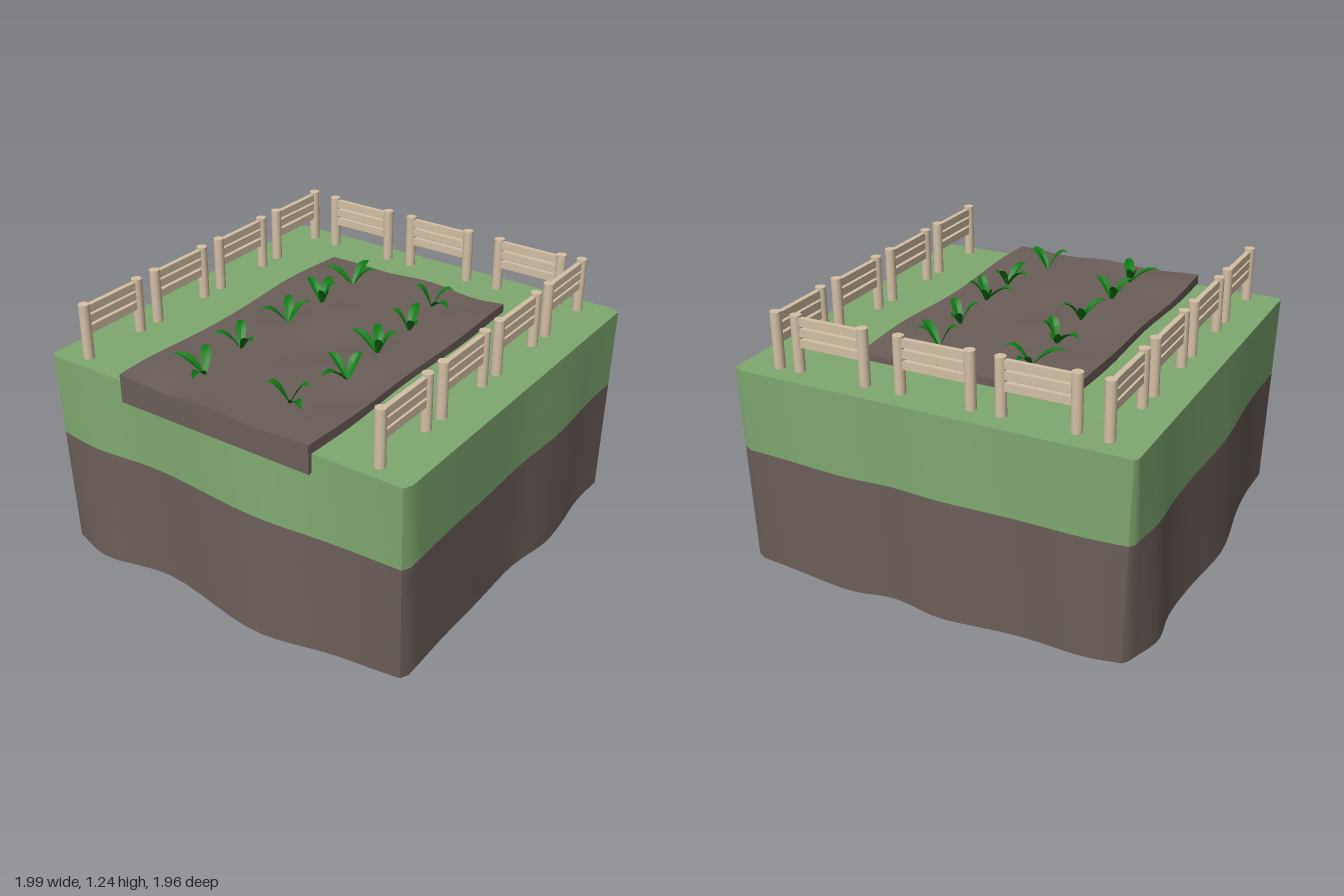
import * as THREE from 'three';
import { toCreasedNormals } from 'three/addons/utils/BufferGeometryUtils.js';

const mat = (color, extra = {}) => new THREE.MeshStandardMaterial({ color, ...extra });
const grassMat = mat(0x7fa870, { side: THREE.DoubleSide });
const soilMat = mat(0x6b5e59, { side: THREE.DoubleSide });
const woodMat = mat(0xd4c0a5);
const leafMat = mat(0x0f7a14, { side: THREE.DoubleSide });

function mesh(name, geometry, material) {
  const m = new THREE.Mesh(geometry, material);
  m.name = name;
  return m;
}

// Surface through a list of equally long rows of [x, y, z] points
function loft(rows, closed) {
  const n = rows[0].length, index = [];
  for (let r = 0; r < rows.length - 1; r++) {
    for (let i = 0; i < (closed ? n : n - 1); i++) {
      const a = r * n + i, b = r * n + (i + 1) % n;
      index.push(a, a + n, b + n, a, b + n, b);
    }
  }
  const g = new THREE.BufferGeometry();
  g.setAttribute('position', new THREE.Float32BufferAttribute(rows.flat(2), 3));
  g.setIndex(index);
  g.computeVertexNormals();
  return g;
}

// Ground block: straight rim on top, wavy outline at the foot, open underneath
const TOP = { x0: -0.93, x1: 0.965, z0: -0.94, z1: 0.957, y: 0.98 };
const FOOT = [
  [[-0.88, 0.94], [-0.5, 0.94], [0, 0.935], [0.3, 0.976], [0.5, 0.965], [0.7, 0.945], [0.94, 0.95]],
  [[0.94, 0.95], [0.978, 0.42], [0.945, 0.2], [0.997, -0.08], [0.945, -0.45], [0.955, -0.75], [0.935, -0.91]],
  [[0.935, -0.91], [0.72, -0.97], [0.5, -0.942], [-0.08, -0.983], [-0.45, -0.935], [-0.7, -0.915], [-0.91, -0.915]],
  [[-0.91, -0.915], [-0.975, -0.68], [-0.925, -0.3], [-0.998, 0.27], [-0.925, 0.68], [-0.88, 0.94]],
];

function blockOutlines() {
  const corners = [[TOP.x0, TOP.z1], [TOP.x1, TOP.z1], [TOP.x1, TOP.z0], [TOP.x0, TOP.z0]];
  const top = [], foot = [], N = 28;
  FOOT.forEach((pts, k) => {
    const curve = new THREE.CatmullRomCurve3(pts.map(([x, z]) => new THREE.Vector3(x, 0, z)));
    const a = corners[k], b = corners[(k + 1) % 4];
    const axis = k % 2, first = pts[0][axis], last = pts[pts.length - 1][axis];
    const addPoint = (u) => {
      const p = curve.getPoint(u);
      const f = ((axis ? p.z : p.x) - first) / (last - first);
      top.push([a[0] + (b[0] - a[0]) * f, a[1] + (b[1] - a[1]) * f]);
      foot.push([p.x, p.z]);
    };
    // stop short of both ends so that each corner becomes a small bevel
    for (let i = 0; i <= N; i++) addPoint(0.015 + 0.97 * i / N);
  });
  return { top, foot };
}

function buildBlock() {
  const g = new THREE.Group();
  g.name = 'groundBlock';
  const { top, foot } = blockOutlines();
  const ring = (y, wave) => top.map(([x, z], i) => {
    const t = (TOP.y - y) / TOP.y;
    const px = x + (foot[i][0] - x) * t, pz = z + (foot[i][1] - z) * t;
    return [px, y + wave * Math.sin(px * 9 + pz * 7), pz];
  });
  const rim = ring(TOP.y, 0), seam = ring(0.585, 0.004), base = ring(0.008, 0.007);
  g.add(mesh('grassBand', toCreasedNormals(loft([rim, seam], true), 0.6), grassMat));
  g.add(mesh('soilBand', toCreasedNormals(loft([seam, base], true), 0.6), soilMat));

  const lawn = new THREE.ShapeGeometry(new THREE.Shape(top.map(([x, z]) => new THREE.Vector2(x, -z))));
  lawn.rotateX(-Math.PI / 2).translate(0, TOP.y, 0);
  g.add(mesh('lawn', lawn, grassMat));
  return g;
}

// Planting bed: uneven slab without a bottom
const bedHeight = (x, z) => 1.02 + 0.006 * Math.sin(x * 11 + 1) * Math.cos(z * 9)
  + 0.006 * Math.sin(x * 5 - z * 13);

function buildBed() {
  const box = new THREE.BoxGeometry(1.575, 0.13, 1.01, 30, 2, 20);
  const bottom = box.groups[3], idx = Array.from(box.index.array);
  idx.splice(bottom.start, bottom.count);
  box.setIndex(idx);
  box.clearGroups();
  box.translate(-0.162, 0, 0.008);
  const p = box.attributes.position;
  for (let i = 0; i < p.count; i++) {
    const x = p.getX(i), z = p.getZ(i), t = (p.getY(i) + 0.065) / 0.13;
    p.setY(i, 0.89 + t * (bedHeight(x, z) - 0.89));
    p.setZ(i, z + Math.sign(z) * 0.007 * Math.sin(x * 7) * (Math.abs(z) > 0.4 ? 1 : 0));
  }
  return mesh('plantingBed', toCreasedNormals(box, 0.6), soilMat);
}

// Fence panel along x: two round posts and three rails
function fencePanel() {
  const g = new THREE.Group(), span = 0.334;
  g.name = 'fencePanel';
  for (const s of [-1, 1]) {
    const post = mesh('fencePost', new THREE.CylinderGeometry(0.025, 0.025, 0.295, 16), woodMat);
    post.position.set(s * span / 2, 1.0945, 0);
    g.add(post);
  }
  for (const y of [1.115, 1.165, 1.213]) {
    const rail = mesh('fenceRail', new THREE.BoxGeometry(span, 0.037, 0.024), woodMat);
    rail.position.y = y;
    g.add(rail);
  }
  return g;
}

function buildFence() {
  const g = new THREE.Group();
  g.name = 'fence';
  const place = (x, z, turn) => {
    const panel = fencePanel();
    panel.position.set(x, 0, z);
    panel.rotation.y = turn;
    g.add(panel);
  };
  for (const z of [-0.78, 0.78])
    for (const x of [-0.683, -0.228, 0.232, 0.69]) place(x, z, 0);
  for (const z of [-0.47, 0.003, 0.512]) place(0.85, z, Math.PI / 2);
  return g;
}

// Folded, arching leaf from the plant's root to a tip at (dx, dz)
function leaf(dx, dz) {
  const len = Math.hypot(dx, dz), rise = 0.125 - 0.3 * len;
  const nx = -dz / len, nz = dx / len;
  const widths = [0.006, 0.018, 0.025, 0.022, 0.013, 0.0005];
  const rows = widths.map((w, i) => {
    const t = i / (widths.length - 1);
    const y = rise * Math.sin(t * 1.9) / Math.sin(1.9);
    return [-1, 0, 1].map((s) => [dx * t + nx * w * s, y + Math.abs(s) * w * 0.45, dz * t + nz * w * s]);
  });
  return mesh('leaf', toCreasedNormals(loft(rows, false), 0.5), leafMat);
}

// Root x, z followed by the leaf tips relative to it, in hundredths
const PLANTS = [
  [-72, -21, [-4, -15], [9, -6], [-16, 7]],
  [-45, -23, [-9, -8], [9, -7], [-5, 11]],
  [-13, -21, [-10, -9], [10, -7], [9, 6]],
  [15, -22, [7, -14], [14, -4], [-7, 7], [4, 6]],
  [41, -22, [-4, -15], [16, -1], [4, 11]],
  [-71, 24, [-5, -9], [3, 9], [-11, 14]],
  [-41, 32, [3, -13], [-15, -3], [10, 1]],
  [-15, 30, [0, -15], [11, -7], [-6, 7], [6, 7]],
  [14, 28, [-4, -8], [13, -3], [-8, 9]],
  [42, 23, [-3, -8], [5, 9], [-10, 15]],
];

function buildPlants() {
  const g = new THREE.Group();
  g.name = 'plants';
  for (const [x, z, ...tips] of PLANTS) {
    const plant = new THREE.Group();
    plant.name = 'seedling';
    plant.position.set(x / 100, bedHeight(x / 100, z / 100) - 0.008, z / 100);
    for (const [dx, dz] of tips) plant.add(leaf(dx / 100, dz / 100));
    g.add(plant);
  }
  return g;
}

export function createModel() {
  const model = new THREE.Group();
  model.name = 'gardenPlot';
  model.add(buildBlock(), buildBed(), buildFence(), buildPlants());
  return model;
}
